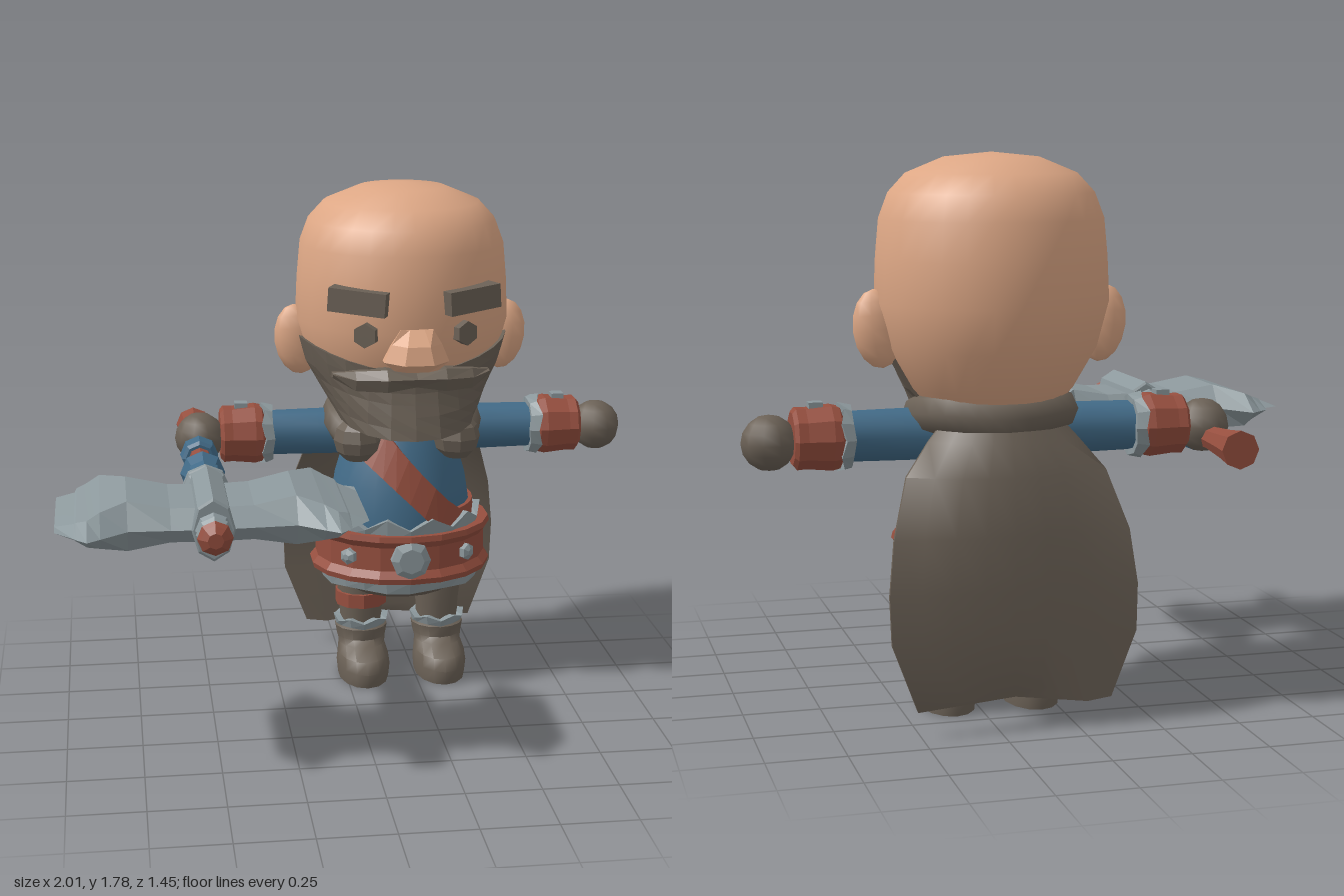
import * as THREE from 'three';
import { toCreasedNormals } from 'three/addons/utils/BufferGeometryUtils.js';

const material = (name, color) => Object.assign(new THREE.MeshStandardMaterial({ color }), { name });
const skin = material('skin', 0xdda785);
const brown = material('brown leather and hair', 0x6b6156);
const blue = material('blue cloth', 0x426b88);
const red = material('red leather', 0x964f3f);
const metal = material('grey metal', 0x8c989c);
const SMOOTH = 0.9, FLAT = 0.05;

function add(parent, name, geometry, mat, x = 0, y = 0, z = 0) {
  const mesh = new THREE.Mesh(geometry, mat);
  mesh.name = name;
  mesh.position.set(x, y, z);
  parent.add(mesh);
  return mesh;
}

// Solid skinned over rings of [x, y, z]; closed joins the last ring to the first
function loft(rings, crease = FLAT, closed = false) {
  const pos = [];
  const a = new THREE.Vector3(), b = new THREE.Vector3(), c = new THREE.Vector3();
  let volume = 0;
  const tri = (p, q, r) => {
    a.set(...p); b.set(...q); c.set(...r);
    const v = a.dot(b.clone().cross(c));
    if (b.sub(a).cross(c.sub(a)).length() < 1e-9) return;
    volume += v;
    pos.push(...p, ...q, ...r);
  };
  const n = rings[0].length, m = rings.length;
  for (let i = 0; i < (closed ? m : m - 1); i++) {
    const r0 = rings[i], r1 = rings[(i + 1) % m];
    for (let j = 0; j < n; j++) {
      const k = (j + 1) % n;
      tri(r0[j], r0[k], r1[k]);
      tri(r0[j], r1[k], r1[j]);
    }
  }
  if (!closed) for (const [ring, flip] of [[rings[0], true], [rings[m - 1], false]]) {
    const mid = [0, 1, 2].map(d => ring.reduce((s, p) => s + p[d], 0) / n);
    for (let j = 0; j < n; j++) {
      const k = (j + 1) % n;
      flip ? tri(mid, ring[k], ring[j]) : tri(mid, ring[j], ring[k]);
    }
  }
  // Turn the faces outwards
  if (volume < 0) for (let i = 0; i < pos.length; i += 9)
    for (let d = 0; d < 3; d++) [pos[i + 3 + d], pos[i + 6 + d]] = [pos[i + 6 + d], pos[i + 3 + d]];
  const g = new THREE.BufferGeometry();
  g.setAttribute('position', new THREE.Float32BufferAttribute(pos, 3));
  return toCreasedNormals(g, crease);
}

const around = (n, f) => Array.from({ length: n }, (_, i) => f(i / n * Math.PI * 2, i));
// Turned solid from [radius, y] pairs
const turned = (profile, n, crease = FLAT, sx = 1, sz = 1) =>
  loft(profile.map(([r, y]) => around(n, t => [Math.sin(t) * r * sx, y, Math.cos(t) * r * sz])), crease);
// Ring with an irregular jagged edge
const jagged = (rx, rz, y0, y1, amp, n, thick = 0.03) => loft(around(n, (t, i) => {
  const top = y1 + (i % 2 ? amp : 0), low = y0 - (i % 3 ? 0 : amp * 0.4);
  const at = (d, y) => [Math.sin(t) * (rx + d), y, Math.cos(t) * (rz + d)];
  return [at(-thick, low), at(0, low), at(0.01, top), at(-thick, top)];
}), FLAT, true);
function sample(profile, y) {
  for (let i = 1; i < profile.length; i++) {
    const [r0, y0] = profile[i - 1], [r1, y1] = profile[i];
    if (y <= y1) return r0 + (r1 - r0) * Math.max(0, (y - y0) / (y1 - y0));
  }
  return profile.at(-1)[0];
}

const HEAD = [[0.1, 0.93], [0.18, 0.96], [0.26, 1.05], [0.335, 1.18], [0.372, 1.32], [0.366, 1.46],
  [0.355, 1.58], [0.325, 1.66], [0.27, 1.72], [0.15, 1.77], [0, 1.785]];
const TORSO = [[0.255, 0.52], [0.25, 0.64], [0.235, 0.74], [0.2, 0.86], [0.165, 0.95], [0.12, 1.02]];

function buildHead(parent) {
  const head = new THREE.Group();
  head.name = 'head';
  parent.add(head);
  add(head, 'skull', turned(HEAD, 28, SMOOTH), skin);
  add(head, 'nose', loft([[1.2, 0.075, 0.4], [1.23, 0.11, 0.435], [1.29, 0.085, 0.42], [1.34, 0.055, 0.375]]
    .map(([y, w, f]) => [[-w, y, 0.3], [-w, y, 0.37], [-w * 0.45, y, f], [w * 0.45, y, f], [w, y, 0.37], [w, y, 0.3]])), skin);

  // Beard wraps the jaw and juts forward at the chin
  const rows = 6, rings = [];
  for (let i = 0; i <= 14; i++) {
    const t = -1.62 + 3.24 * i / 14, front = Math.max(0, Math.cos(t));
    const top = 1.265 - 0.075 * front ** 2, bottom = 1.0 - 0.045 * front ** 3, ring = [];
    for (let j = 0; j <= rows; j++) {
      const k = j / rows, y = top + (bottom - top) * k;
      const r = sample(HEAD, y) + 0.012 + front ** 2 * 0.2 * k ** 1.6;
      ring.push([Math.sin(t) * r, y, Math.cos(t) * r]);
    }
    ring.push([Math.sin(t) * 0.1, 1.02, Math.cos(t) * 0.1], [Math.sin(t) * 0.26, top - 0.02, Math.cos(t) * 0.26]);
    rings.push(ring);
  }
  add(head, 'beard', loft(rings), brown);

  for (const s of [-1, 1]) {
    add(head, 'moustache', loft([[0, 1.14, 1.19, 0.40], [0.1, 1.125, 1.205, 0.405], [0.2, 1.12, 1.19, 0.345], [0.27, 1.15, 1.17, 0.27]]
      .map(([x, y0, y1, z]) => [[s * x, y0, z - 0.12], [s * x, y0 + 0.005, z - 0.02], [s * x, (y0 + y1) / 2 + 0.01, z], [s * x, y1, z - 0.03], [s * x, y1, z - 0.12]])), brown);
    const ear = add(head, 'ear', toCreasedNormals(new THREE.SphereGeometry(1, 10, 8), SMOOTH), skin, s * 0.365, 1.24, 0);
    ear.scale.set(0.08, 0.125, 0.052);
    ear.rotation.z = -s * 0.12;
    const eye = add(head, 'eye', turned([[0.042, -0.03], [0.042, 0.03]], 6), brown, s * 0.162, 1.32, 0.33);
    eye.rotation.set(Math.PI / 2, 0, -s * 0.45);
    const brow = add(head, 'eyebrow', new THREE.BoxGeometry(0.2, 0.08, 0.07), brown, s * 0.188, 1.432, 0.322);
    brow.rotation.set(0, s * 0.42, s * 0.07);
  }
}

function buildTorso(parent) {
  add(parent, 'tunic', turned(TORSO, 24, SMOOTH), blue);
  // Diagonal strap follows the tunic surface
  add(parent, 'chestStrap', loft(around(32, t => {
    let y = 0.78;
    for (let i = 0; i < 12; i++) y = THREE.MathUtils.clamp(0.77 - 1.1 * sample(TORSO, y) * Math.sin(t), 0.58, 0.96);
    const at = (h, d) => {
      const r = sample(TORSO, y + h) + d;
      return [Math.sin(t) * r, y + h, Math.cos(t) * r];
    };
    return [at(-0.075, -0.02), at(-0.075, 0.014), at(0.075, 0.014), at(0.075, -0.02)];
  }), FLAT, true), red);
  add(parent, 'hips', turned([[0.1, 0.31], [0.18, 0.325], [0.25, 0.37], [0.28, 0.44]], 16, SMOOTH, 1, 0.92), brown);
  add(parent, 'belt', turned([[0.26, 0.41], [0.32, 0.41], [0.325, 0.43], [0.305, 0.455], [0.305, 0.54], [0.325, 0.565], [0.32, 0.585], [0.26, 0.585]], 18, FLAT, 1, 0.89), red);
  add(parent, 'upperBeltTrim', jagged(0.28, 0.262, 0.57, 0.6, 0.04, 22), metal);
  add(parent, 'lowerBeltTrim', jagged(0.285, 0.26, 0.375, 0.41, 0.02, 22), metal);
  const buckle = add(parent, 'buckle', turned([[0.07, 0.25], [0.07, 0.285], [0.045, 0.3]], 8), metal, 0, 0.5, 0);
  buckle.rotation.x = Math.PI / 2;
  for (const s of [-1, 1]) {
    const stud = add(parent, 'beltStud', turned([[0.03, -0.03], [0.03, 0.012], [0.012, 0.022]], 6), metal, s * 0.208, 0.5, 0.203);
    stud.rotation.set(Math.PI / 2, 0, -s * 0.72);
  }
}

function buildCape(parent) {
  const cols = 8, hem = [0, -0.01, 0.025, 0.05, 0.05, 0.05, 0.02, 0.005, -0.005];
  // y, half width, z, forward wrap of the edges
  const rows = [[0.98, 0.17, -0.2, 0.08], [0.9, 0.24, -0.25, 0.11], [0.8, 0.32, -0.285, 0.1], [0.62, 0.375, -0.3, 0.04],
    [0.45, 0.395, -0.3, 0.015], [0.3, 0.39, -0.295, 0.005], [0.09, 0.31, -0.285, 0]];
  add(parent, 'cape', loft(rows.map(([y, w, z, wrap], i) => {
    const line = (d, dir) => Array.from({ length: cols + 1 }, (_, j) => {
      const c = dir > 0 ? j : cols - j, u = c / cols * 2 - 1;
      return [u * w, y + (i === rows.length - 1 ? hem[c] : 0), z + wrap * u * u + d];
    });
    return [...line(0.006, 1), ...line(-0.008, -1)];
  }), SMOOTH), brown);
  // Rolled collar ending in two lobes under the beard
  const path = [[-0.17, 0.91, 0.17], [-0.215, 0.96, 0.04], [-0.17, 0.98, -0.11], [0, 0.97, -0.185],
    [0.17, 0.98, -0.11], [0.215, 0.96, 0.04], [0.17, 0.91, 0.17]].map(p => new THREE.Vector3(...p));
  add(parent, 'collar', new THREE.TubeGeometry(new THREE.CatmullRomCurve3(path), 24, 0.068, 8), brown);
  for (const s of [-1, 1])
    add(parent, 'collarEnd', toCreasedNormals(new THREE.SphereGeometry(0.083, 8, 6), FLAT), brown, s * 0.175, 0.915, 0.17);
}

function buildArm(parent, side) {
  const arm = new THREE.Group();
  arm.name = side > 0 ? 'leftArm' : 'rightArm';
  arm.position.y = 0.905;
  arm.rotation.y = side > 0 ? 0 : Math.PI;
  parent.add(arm);
  const along = (name, g, mat) => { add(arm, name, g, mat).rotation.z = -Math.PI / 2; };
  along('sleeve', turned([[0.085, 0.08], [0.083, 0.3], [0.08, 0.5]], 12, SMOOTH), blue);
  along('sleeveTrim', jagged(0.1, 0.1, 0.46, 0.485, 0.015, 12, 0.05), metal);
  along('cuff', turned([[0.08, 0.485], [0.1, 0.495], [0.106, 0.52], [0.098, 0.6], [0.1, 0.63], [0.085, 0.642]], 10), red);
  const hand = add(arm, 'hand', toCreasedNormals(new THREE.SphereGeometry(0.088, 10, 8), SMOOTH), brown, 0.712, -0.01, 0);
  hand.scale.set(1, 1, 1.05);
  add(arm, 'cuffStud', new THREE.BoxGeometry(0.045, 0.02, 0.045), metal, 0.567, 0.103, 0);
}

function buildLeg(parent, side) {
  const leg = new THREE.Group();
  leg.name = side > 0 ? 'leftLeg' : 'rightLeg';
  leg.position.x = side * 0.14;
  parent.add(leg);
  add(leg, 'trouserLeg', turned([[0.075, 0.15], [0.078, 0.25], [0.092, 0.37], [0.09, 0.4]], 12, SMOOTH), brown);
  // y, half width, back z, front z
  const boot = [[0, 0.09, -0.09, 0.215], [0.05, 0.095, -0.095, 0.222], [0.09, 0.09, -0.09, 0.2], [0.115, 0.083, -0.088, 0.12],
    [0.135, 0.088, -0.092, 0.092], [0.175, 0.095, -0.095, 0.095], [0.19, 0.07, -0.07, 0.07]];
  add(leg, 'boot', loft(boot.map(([y, w, b, f]) => around(14, t =>
    [Math.sin(t) * w, y, (b + f) / 2 + Math.cos(t) * (f - b) / 2])), SMOOTH), brown);
  add(leg, 'bootTrim', jagged(0.09, 0.092, 0.182, 0.2, 0.015, 12), metal);
  if (side < 0) add(leg, 'legStrap', turned([[0.07, 0.255], [0.094, 0.258], [0.094, 0.308], [0.07, 0.312]], 10), red);
}

function buildAxe(root) {
  const axe = new THREE.Group();
  axe.name = 'axe';
  axe.position.set(-0.518, 0.86, 0);
  root.add(axe);
  const shaft = (name, profile, mat, sy = 1) => {
    add(axe, name, turned(profile, 8, FLAT, 1, sy), mat).rotation.x = Math.PI / 2;
  };
  shaft('handleEnd', [[0.062, -0.68], [0.052, -0.6], [0.04, -0.45], [0.04, -0.3]], red);
  shaft('handle', [[0.04, -0.3], [0.04, 0]], red);
  shaft('gripBand', [[0.05, -0.275], [0.066, -0.265], [0.062, -0.21], [0.05, -0.2]], blue);
  shaft('lowerWrap', [[0.045, -0.085], [0.06, -0.08], [0.076, -0.025], [0.05, 0.045]], blue);
  shaft('upperWrap', [[0.05, 0.03], [0.066, 0.05], [0.06, 0.11], [0.05, 0.15]], blue);
  shaft('neckRings', [[0.06, 0.135], [0.08, 0.145], [0.08, 0.165], [0.065, 0.175], [0.08, 0.185], [0.08, 0.205], [0.06, 0.24]], metal);
  shaft('socket', [[0.062, 0.235], [0.068, 0.24], [0.068, 0.605], [0.062, 0.61]], metal, 1.5);
  shaft('socketCap', [[0.06, 0.605], [0.045, 0.635], [0.058, 0.655], [0.04, 0.68]], metal);
  shaft('tip', [[0.04, 0.67], [0.056, 0.69], [0.045, 0.705], [0.025, 0.722]], red);
  // Distance from shaft, back z, front z, half thickness
  const blade = [[0.03, 0.235, 0.605, 0.055], [0.13, 0.22, 0.6, 0.055], [0.262, 0.2, 0.595, 0.08], [0.345, 0.065, 0.66, 0.058],
    [0.385, 0.1, 0.69, 0.042], [0.418, 0.125, 0.655, 0.03], [0.424, 0.165, 0.645, 0.026], [0.485, 0.2, 0.575, 0.002]];
  for (const s of [-1, 1]) {
    const mesh = add(axe, 'axeBlade', loft(blade.map(([x, z0, z1, h]) => {
      const i = (z1 - z0) * 0.15;
      return [[x, 0, z0], [x, h, z0 + i], [x, h, z1 - i], [x, 0, z1], [x, -h, z1 - i], [x, -h, z0 + i]];
    })), metal);
    if (s < 0) mesh.rotation.z = Math.PI;
  }
}

export function createModel() {
  const root = new THREE.Group();
  root.name = 'axeWarrior';
  const figure = new THREE.Group();
  figure.name = 'figure';
  figure.position.set(0.203, 0, -0.358);
  root.add(figure);
  buildHead(figure);
  buildTorso(figure);
  buildCape(figure);
  for (const s of [-1, 1]) {
    buildArm(figure, s);
    buildLeg(figure, s);
  }
  buildAxe(root);
  return root;
}
